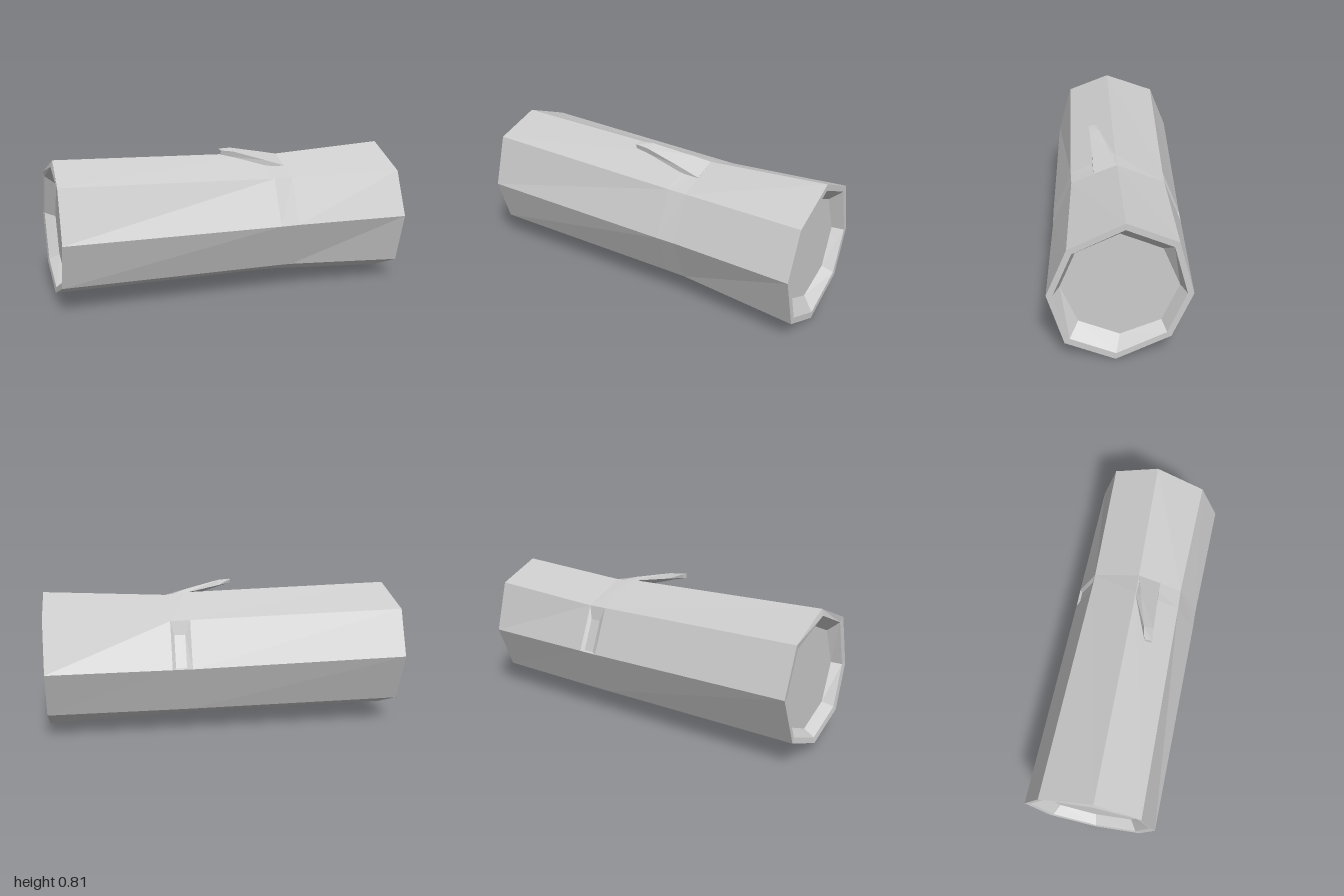
import * as THREE from 'three';

const material = new THREE.MeshStandardMaterial({ color: 0xcccccc, flatShading: true });

// Collects flat quads and triangles into one mesh
function makeMesh(name, faces) {
  const positions = [];
  for (const face of faces) {
    for (let i = 1; i < face.length - 1; i++) positions.push(...face[0], ...face[i], ...face[i + 1]);
  }
  const geometry = new THREE.BufferGeometry();
  geometry.setAttribute('position', new THREE.Float32BufferAttribute(positions, 3));
  geometry.computeVertexNormals();
  const mesh = new THREE.Mesh(geometry, material);
  mesh.name = name;
  return mesh;
}

// Cross-section at x from [z, y] pairs
const ring = (x, pairs) => pairs.map(([z, y]) => [x, y, z]);

// Shrinks a ring towards the log's axis and moves it to x
const shrink = (source, x, s) => source.map(([, y, z]) => [x, 0.4 + (y - 0.4) * s, z * s]);

// Side faces between consecutive rings, with an optional gap
function loft(rings, skip = () => false) {
  const faces = [];
  for (let r = 0; r < rings.length - 1; r++) {
    const a = rings[r], b = rings[r + 1], n = a.length;
    for (let i = 0; i < n; i++) {
      const j = (i + 1) % n;
      if (!skip(r, i)) faces.push([a[i], b[i], b[j]], [a[i], b[j], a[j]]);
    }
  }
  return faces;
}

export function createModel() {
  const group = new THREE.Group();
  group.name = 'hollowEndedLog';

  // Octagonal sections, starting at the top ridge and running over the back
  const leftEnd = ring(-1, [[0.03, 0.785], [-0.265, 0.675], [-0.367, 0.42], [-0.25, 0.145],
    [0.02, 0.04], [0.278, 0.145], [0.36, 0.395], [0.28, 0.682]]);
  leftEnd[0][0] = -0.985;
  const waistA = ring(0.21, [[0.01, 0.758], [-0.25, 0.648], [-0.35, 0.395], [-0.25, 0.14],
    [0.005, 0.04], [0.258, 0.14], [0.36, 0.395], [0.255, 0.648]]);
  const waistB = ring(0.32, [[0.005, 0.747], [-0.25, 0.645], [-0.35, 0.395], [-0.25, 0.14],
    [0.005, 0.038], [0.255, 0.138], [0.357, 0.395], [0.25, 0.645]]);
  const rightEnd = ring(1, [[-0.015, 0.785], [-0.267, 0.68], [-0.345, 0.393], [-0.243, 0.14],
    [0.033, 0.002], [0.285, 0.107], [0.367, 0.393], [0.262, 0.647]]);

  // Recessed end faces
  const floorPairs = Array.from({ length: 8 }, (_, i) => {
    const t = i * Math.PI / 4;
    return [0.01 - 0.292 * Math.sin(t), 0.405 + 0.292 * Math.cos(t)];
  });
  const leftFloor = ring(-0.94, floorPairs);
  const rightFloor = ring(0.94, floorPairs);

  // Bark with the notch's face left open
  group.add(makeMesh('bark', loft([leftEnd, waistA, waistB, rightEnd], (r, i) => r === 1 && i === 1)));
  group.add(makeMesh('leftEnd', [...loft([leftFloor, shrink(leftEnd, -0.995, 0.91), leftEnd]), leftFloor]));
  group.add(makeMesh('rightEnd',
    [...loft([rightEnd, shrink(rightEnd, 1, 0.91), rightFloor]), [...rightFloor].reverse()]));

  // Notch cut into the upper back face
  const outer = [waistA[1], waistB[1], waistB[2], waistA[2]];
  const inner = [[0.24, 0.57, -0.265], [0.3, 0.57, -0.265], [0.3, 0.4, -0.335], [0.24, 0.4, -0.335]];
  const notch = [inner];
  for (let i = 0; i < 4; i++) {
    const j = (i + 1) % 4;
    notch.push([outer[i], outer[j], inner[j], inner[i]]);
  }
  group.add(makeMesh('notch', notch));

  // Splinter peeling off the upper front face, tip to root:
  // top back, bottom back, bottom front, top front
  const splinter = [
    ring(-0.075, [[0.112, 0.812], [0.118, 0.79], [0.15, 0.784], [0.155, 0.808]]),
    ring(0, [[0.095, 0.812], [0.085, 0.782], [0.142, 0.765], [0.148, 0.797]]),
    ring(0.2, [[0.04, 0.772], [0.01, 0.755], [0.135, 0.705], [0.135, 0.735]]),
    ring(0.32, [[0.005, 0.747], [0.005, 0.735], [0.13, 0.685], [0.13, 0.697]]),
  ];
  const root = splinter[3];
  group.add(makeMesh('splinter', [...loft(splinter), splinter[0], [...root].reverse()]));

  return group;
}
